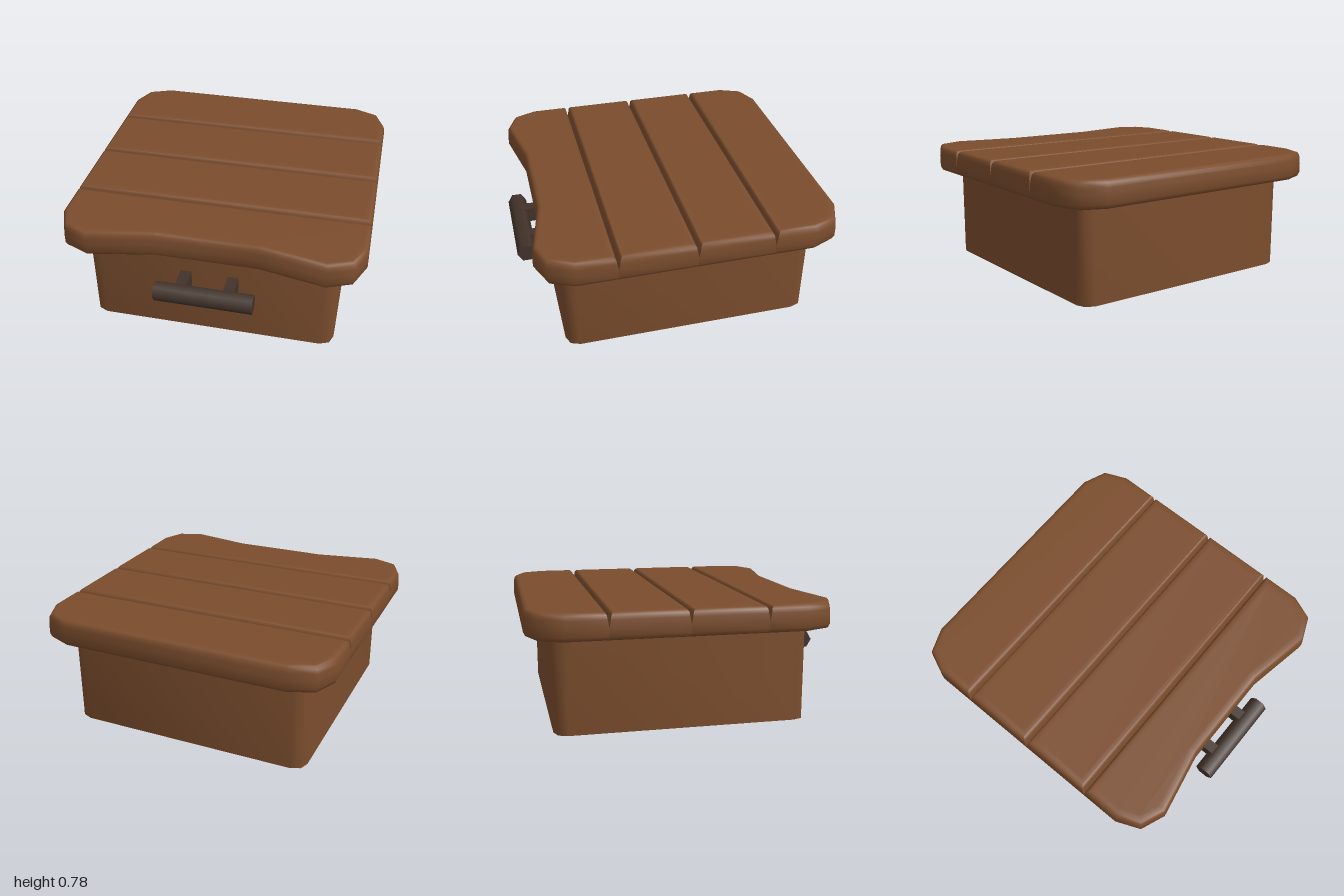
import * as THREE from 'three';
import { toCreasedNormals } from 'three/addons/utils/BufferGeometryUtils.js';

// Outline [x, z] moved inwards; each edge i -> i+1 has its own distance
function insetOutline(points, distances) {
  const n = points.length;
  const lines = points.map(([x, z], i) => {
    const [x2, z2] = points[(i + 1) % n];
    const length = Math.hypot(x2 - x, z2 - z);
    const nx = -(z2 - z) / length, nz = (x2 - x) / length;
    return { nx, nz, d: x * nx + z * nz + distances[i] };
  });
  return points.map((_, i) => {
    const a = lines[(i + n - 1) % n], b = lines[i];
    const det = a.nx * b.nz - a.nz * b.nx;
    return [(a.d * b.nz - b.d * a.nz) / det, (a.nx * b.d - b.nx * a.d) / det];
  });
}

// Closed solid through rings of { y, points }, from bottom to top
function loft(rings) {
  const n = rings[0].points.length;
  const positions = [], index = [];
  for (const { y, points } of rings) for (const [x, z] of points) positions.push(x, y, z);
  for (let r = 0; r < rings.length - 1; r++) {
    for (let i = 0; i < n; i++) {
      const j = (i + 1) % n, a = r * n, b = a + n;
      index.push(a + i, b + i, b + j, a + i, b + j, a + j);
    }
  }
  const cap = (ring) => THREE.ShapeUtils.triangulateShape(ring.points.map(([x, z]) => new THREE.Vector2(x, z)), []);
  const last = (rings.length - 1) * n;
  for (const [a, b, c] of cap(rings[0])) index.push(a, b, c);
  for (const [a, b, c] of cap(rings[rings.length - 1])) index.push(last + a, last + c, last + b);
  const geometry = new THREE.BufferGeometry();
  geometry.setAttribute('position', new THREE.Float32BufferAttribute(positions, 3));
  geometry.setIndex(index);
  return toCreasedNormals(geometry, 0.9);
}

// Adds the points mirrored to -x, keeping the outline order
const mirrorAfter = (pts) => [...pts, ...pts.map(([x, z]) => [-x, z]).reverse()];

export function createModel() {
  const wood = new THREE.MeshStandardMaterial({ color: 0x7b4d2d });
  wood.name = 'brown wood';
  const metal = new THREE.MeshStandardMaterial({ color: 0x42332a });
  metal.name = 'dark metal';

  const model = new THREE.Group();
  model.name = 'woodenBox';
  const add = (parent, name, geometry, material, x = 0, y = 0, z = 0) => {
    const mesh = new THREE.Mesh(geometry, material);
    mesh.name = name;
    mesh.position.set(x, y, z);
    parent.add(mesh);
    return mesh;
  };

  // Body with rounded upright corners
  const bodyOutline = mirrorAfter([
    [0.72, -0.84], [0.782, -0.815], [0.805, -0.755],
    [0.805, 0.69], [0.782, 0.75], [0.72, 0.775],
  ]);
  add(model, 'body', loft([{ y: 0, points: bodyOutline }, { y: 0.63, points: bodyOutline }]), wood);

  // Lid planks, split by V grooves; the front edge dips in the middle
  const lid = new THREE.Group();
  lid.name = 'lid';
  model.add(lid);
  const grooves = [-0.52, -0.033, 0.453];
  const backEdge = [[0.74, -1], [0.9, -0.935], [0.965, -0.78]];
  const frontEdge = [[0.965, 0.71], [0.9, 0.865], [0.74, 0.93], [0.32, 0.85]];
  // Height, inset of outer edges, inset of groove edges
  const profile = [
    [0.61, 0.03, 0], [0.616, 0.012, 0], [0.64, 0, 0], [0.695, 0, 0.001],
    [0.735, 0.003, 0.009], [0.762, 0.008, 0.013], [0.776, 0.02, 0.023],
    [0.78, 0.035, 0.037], [0.78, 0.06, 0.06],
  ];
  for (let k = 0; k <= grooves.length; k++) {
    const back = k === 0 ? backEdge : [[0.965, grooves[k - 1]]];
    const front = k === grooves.length ? frontEdge : [[0.965, grooves[k]]];
    const outline = mirrorAfter([...back, ...front]);
    const isGroove = outline.map(([, z], i) =>
      grooves.includes(z) && outline[(i + 1) % outline.length][1] === z);
    const rings = profile.map(([y, outer, inner]) => ({
      y,
      points: insetOutline(outline, isGroove.map((g) => (g ? inner : outer))),
    }));
    add(lid, 'lidPlank' + (k + 1), loft(rings), wood);
  }

  // Front handle: six-sided bar on two stems
  const handle = new THREE.Group();
  handle.name = 'handle';
  model.add(handle);
  const bar = add(handle, 'handleBar', new THREE.CylinderGeometry(0.0625, 0.0625, 0.625, 6), metal, 0, 0.41, 0.9375);
  bar.rotation.z = Math.PI / 2;
  for (const side of [-1, 1]) {
    add(handle, side > 0 ? 'leftStem' : 'rightStem', new THREE.BoxGeometry(0.07, 0.106, 0.16), metal, side * 0.152, 0.41, 0.84);
  }
  return model;
}
